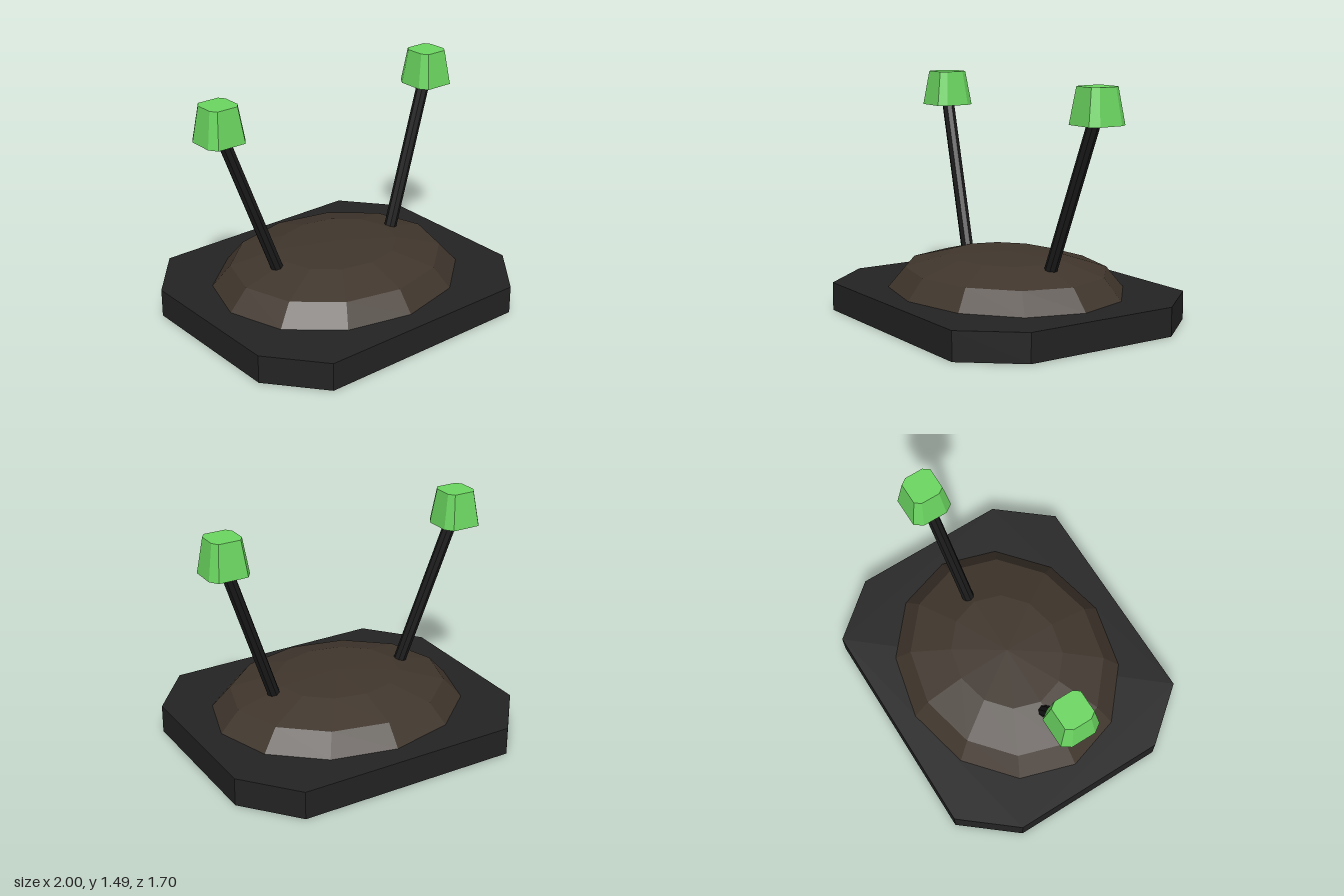
import * as THREE from 'three';

const mat = (name, color) => {
  const m = new THREE.MeshStandardMaterial({ color });
  m.name = name;
  return m;
};

// Faceted normals for the low-poly look
function faceted(geometry) {
  const g = geometry.index ? geometry.toNonIndexed() : geometry;
  g.computeVertexNormals();
  return g;
}

// Chamfered block standing on y = 0, with its top scaled by taper
function chamferedBlock(hx, hz, height, taper = 1) {
  const cx = hx * 0.72, cz = hz * 0.6;
  const outline = [
    [hx, -cz], [hx, cz], [cx, hz], [-cx, hz],
    [-hx, cz], [-hx, -cz], [-cx, -hz], [cx, -hz],
  ].map(([x, y]) => new THREE.Vector2(x, y));
  const g = new THREE.ExtrudeGeometry(new THREE.Shape(outline), { depth: height, bevelEnabled: false });
  g.rotateX(-Math.PI / 2);
  const p = g.attributes.position;
  for (let i = 0; i < p.count; i++) {
    const s = THREE.MathUtils.lerp(1, taper, p.getY(i) / height);
    p.setXYZ(i, p.getX(i) * s, p.getY(i), p.getZ(i) * s);
  }
  return faceted(g);
}

// Straight rod between two points
function rod(a, b, radius) {
  const dir = b.clone().sub(a);
  const g = new THREE.CylinderGeometry(radius, radius, dir.length(), 8);
  g.applyQuaternion(new THREE.Quaternion().setFromUnitVectors(new THREE.Vector3(0, 1, 0), dir.normalize()));
  g.translate((a.x + b.x) / 2, (a.y + b.y) / 2, (a.z + b.z) / 2);
  return faceted(g);
}

export function createModel() {
  const model = new THREE.Group();
  model.name = 'twinStalkMound';
  const charcoal = mat('charcoal', 0x232323);
  const soil = mat('darkBrown', 0x40362d);
  const black = mat('black', 0x1a1a1a);
  const green = mat('green', 0x6bd660);

  const add = (name, geometry, material, parent = model) => {
    const mesh = new THREE.Mesh(geometry, material);
    mesh.name = name;
    parent.add(mesh);
    return mesh;
  };

  // Chamfered slab
  add('base', chamferedBlock(1, 0.85, 0.18), charcoal);

  // Low oval mound
  const profile = [[1, 0.17], [1, 0.18], [0.855, 0.31], [0.49, 0.39], [0, 0.41]]
    .map(([r, y]) => new THREE.Vector2(r, y));
  const dome = new THREE.LatheGeometry(profile, 12);
  dome.scale(0.83, 1, 0.71);
  add('mound', faceted(dome), soil);

  // Leaning stalks with tapered caps, mirrored across x
  for (const side of [1, -1]) {
    const stalk = new THREE.Group();
    stalk.name = side > 0 ? 'leftStalk' : 'rightStalk';
    model.add(stalk);
    const foot = new THREE.Vector3(0.455 * side, 0.335, -0.008);
    const tip = new THREE.Vector3(0.803 * side, 1.31, -0.076);
    add('rod', rod(foot, tip, 0.04), black, stalk);
    const cap = add('cap', chamferedBlock(0.131, 0.132, 0.222, 0.74), green, stalk);
    cap.position.set(0.812 * side, 1.272, -0.08);
  }
  return model;
}
